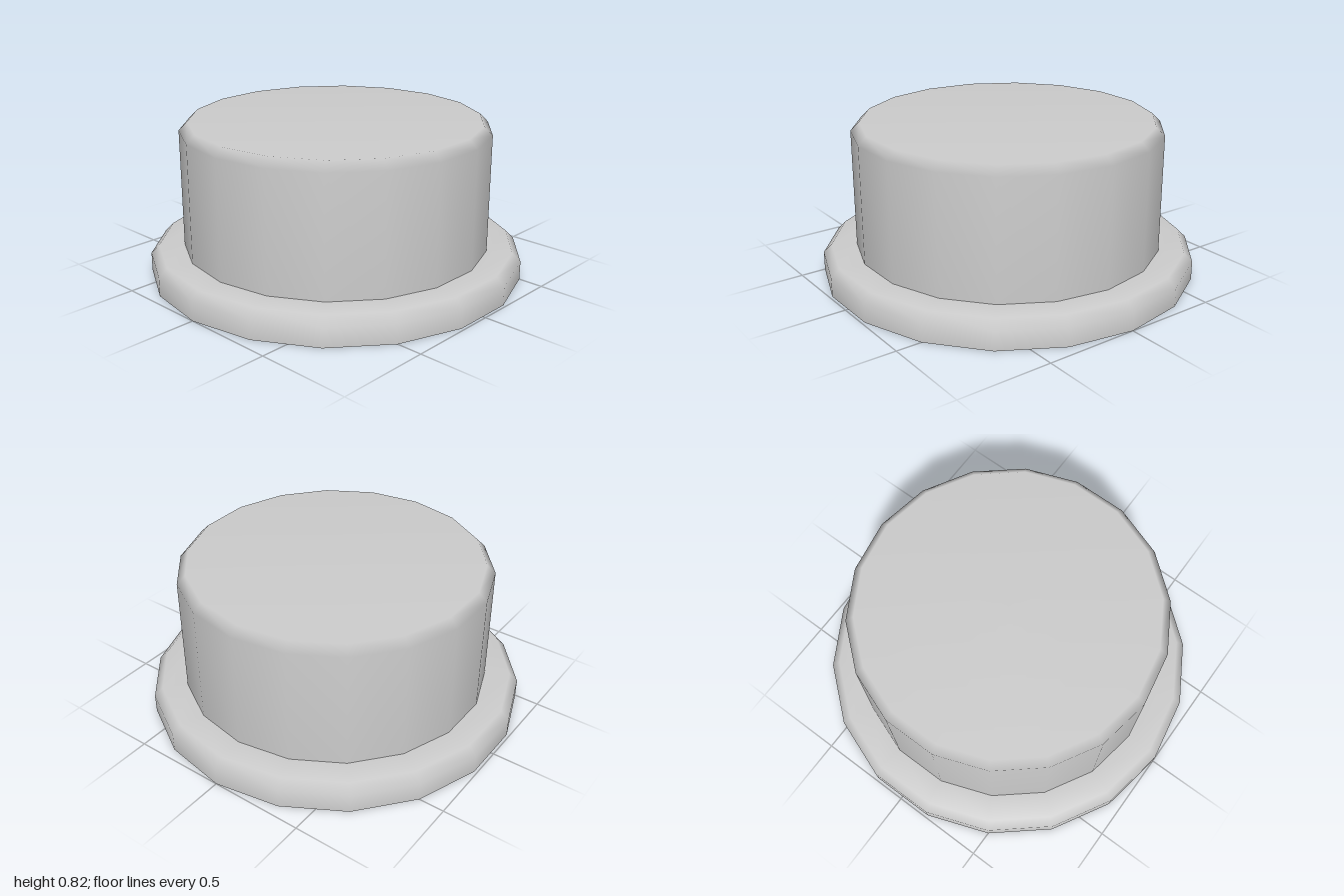
import * as THREE from 'three';

const SIDES = 18;

export function createModel() {
  const group = new THREE.Group();
  const material = new THREE.MeshStandardMaterial({ color: 0xcccccc });

  // Revolve a bottom-to-top [radius, y] profile, with corners on the x axis
  const turned = (name, profile) => {
    const points = profile.map(([r, y]) => new THREE.Vector2(r, y));
    const geometry = new THREE.LatheGeometry(points, SIDES, Math.PI / 2);
    const mesh = new THREE.Mesh(geometry, material);
    mesh.name = name;
    group.add(mesh);
  };

  // Flat underside, kept separate so its rim stays sharp
  turned('underside', [[0, 0], [1, 0]]);

  // Chamfered flange around the foot
  turned('flange', [[1, 0], [1, 0.1], [0.955, 0.145], [0.82, 0.145]]);

  // Button body with a chamfered rim and closed top
  turned('buttonBody', [[0.82, 0.145], [0.82, 0.777], [0.775, 0.822], [0, 0.822]]);

  return group;
}
